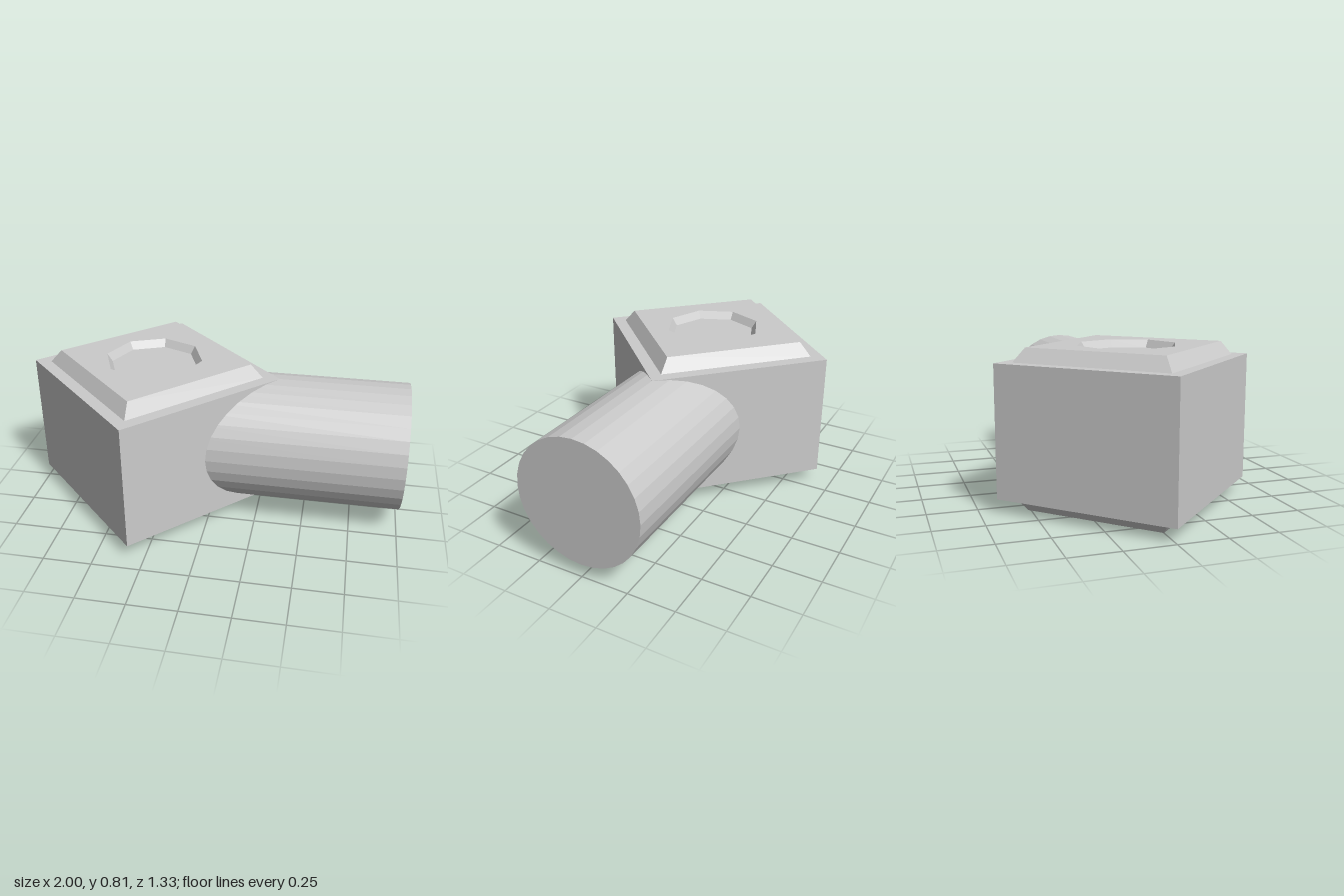
import * as THREE from 'three';

const CENTRE_X = -0.333, CENTRE_Y = 0.403;
const HALF = 0.333;            // half height of the block and radius of the arm
const CAP = 0.07;              // cap thickness
const material = new THREE.MeshStandardMaterial({ color: 0xcccccc, flatShading: true });

function addMesh(parent, name, geometry) {
  const mesh = new THREE.Mesh(geometry, material);
  mesh.name = name;
  parent.add(mesh);
  return mesh;
}

// Faceted ring or disc from [radius, height] pairs, corners on the x and z axes
const faceted = (profile, sides) =>
  new THREE.LatheGeometry(profile.map(([r, y]) => new THREE.Vector2(r, y)), sides).toNonIndexed();

// Corners of a regular polygon, first one on the x axis
const polygon = (radius, sides) => Array.from({ length: sides }, (_, i) => {
  const a = (i / sides) * Math.PI * 2;
  return new THREE.Vector2(Math.cos(a) * radius, Math.sin(a) * radius);
});

// Bevelled square plate with an octagonal recess, base at y = 0
function createCap(name) {
  const cap = new THREE.Group();
  cap.name = name;
  addMesh(cap, 'capBevel', faceted([[0.577, 0], [0.513, CAP]], 4));

  const face = new THREE.Shape(polygon(0.513, 4));
  face.holes.push(new THREE.Path(polygon(0.257, 8)));
  const faceGeometry = new THREE.ShapeGeometry(face);
  faceGeometry.rotateX(-Math.PI / 2).translate(0, CAP, 0);
  addMesh(cap, 'capFace', faceGeometry);

  addMesh(cap, 'capRecess', faceted([[0.257, CAP], [0.23, 0.03], [0, 0.03]], 8));
  return cap;
}

export function createModel() {
  const model = new THREE.Group();
  model.name = 'blockWithArm';

  // Square block turned corner to the front
  const side = 0.667 * Math.SQRT2;
  const block = addMesh(model, 'block', new THREE.BoxGeometry(side, HALF * 2, side));
  block.position.set(CENTRE_X, CENTRE_Y, 0);
  block.rotation.y = Math.PI / 4;

  // Matching caps above and below
  for (const [name, sign] of [['topCap', 1], ['bottomCap', -1]]) {
    const cap = createCap(name);
    cap.position.set(CENTRE_X, CENTRE_Y + sign * HALF, 0);
    if (sign < 0) cap.rotation.x = Math.PI;
    model.add(cap);
  }

  // Round arm leaving the block through its left corner
  const start = -0.2;
  const arm = addMesh(model, 'arm', new THREE.CylinderGeometry(HALF, HALF, 1 - start, 32));
  arm.rotation.z = -Math.PI / 2;
  arm.position.set((1 + start) / 2, CENTRE_Y, 0);

  return model;
}
